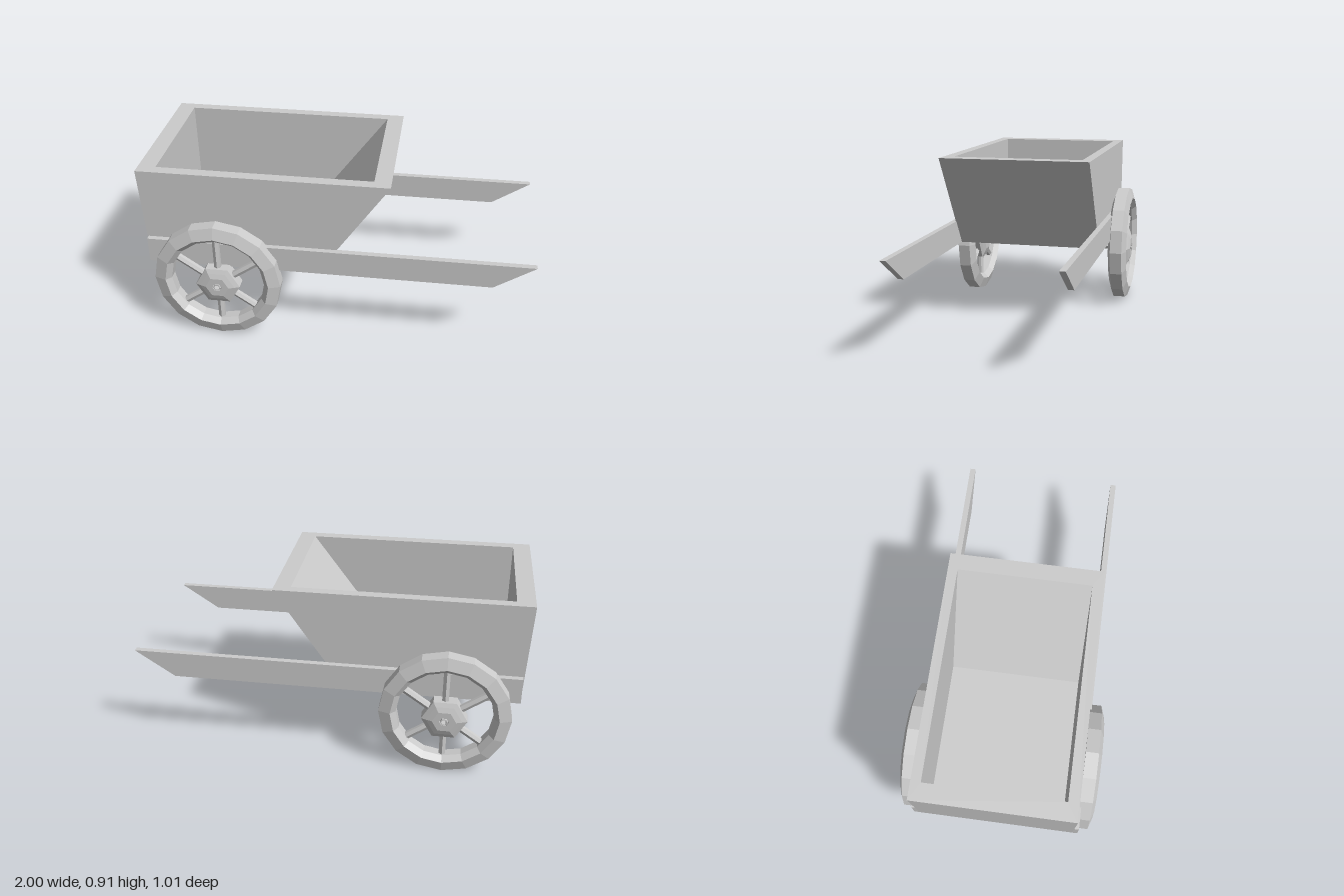
import * as THREE from 'three';

const material = new THREE.MeshStandardMaterial({ color: 0xcccccc, flatShading: true, side: THREE.DoubleSide });

function add(parent, name, geometry) {
  const mesh = new THREE.Mesh(geometry, material);
  mesh.name = name;
  parent.add(mesh);
  return mesh;
}

// Rectangular loop at height y, counter-clockwise seen from above
const loop = (y, x0, x1, z0, z1) => [[x0, y, z1], [x1, y, z1], [x1, y, z0], [x0, y, z0]];

// Joins four-cornered loops in order and caps both ends
function loft(loops) {
  const index = [0, 2, 1, 0, 3, 2];
  for (let k = 0; k < loops.length - 1; k++) {
    for (let i = 0; i < 4; i++) {
      const a = k * 4 + i, b = k * 4 + (i + 1) % 4;
      index.push(a, b, b + 4, a, b + 4, a + 4);
    }
  }
  const e = (loops.length - 1) * 4;
  index.push(e, e + 1, e + 2, e, e + 2, e + 3);
  const geometry = new THREE.BufferGeometry();
  geometry.setAttribute('position', new THREE.Float32BufferAttribute(loops.flat(2), 3));
  geometry.setIndex(index);
  const flat = geometry.toNonIndexed();
  flat.computeVertexNormals();
  return flat;
}

// Closed ring of revolution around the z axis, from (radius, z) points
function ring(points, sides) {
  const profile = [...points, points[0]].map(([r, z]) => new THREE.Vector2(r, z));
  return new THREE.LatheGeometry(profile, sides, Math.PI / 2).rotateX(Math.PI / 2);
}

function createWheel(name) {
  const wheel = new THREE.Group();
  wheel.name = name;

  // Chamfered rim, its centre slightly above the hub
  const rise = 0.025;
  add(wheel, 'rim', ring([
    [0.243, -0.025], [0.27, -0.053], [0.33, -0.033],
    [0.33, 0.033], [0.27, 0.053], [0.243, 0.025],
  ], 16)).position.y = rise;

  // Six-sided hub with a bore
  add(wheel, 'hub', ring([
    [0.024, -0.05], [0.06, -0.05], [0.09, -0.04], [0.115, -0.03],
    [0.115, 0.03], [0.09, 0.04], [0.06, 0.05], [0.024, 0.05],
  ], 6));

  // Spokes run from the hub out to the rim
  for (const degrees of [35, 90, 145, 215, 270, 325]) {
    const a = THREE.MathUtils.degToRad(degrees);
    const inner = 0.08, outer = 0.25 + rise * Math.sin(a);
    const spoke = add(wheel, 'spoke', new THREE.CylinderGeometry(0.019, 0.019, outer - inner, 6));
    const mid = (inner + outer) / 2;
    spoke.position.set(Math.cos(a) * mid, Math.sin(a) * mid, 0);
    spoke.rotation.z = a - Math.PI / 2;
  }
  return wheel;
}

export function createModel() {
  const cart = new THREE.Group();
  cart.name = 'handcart';

  // Open tray with a sloping end
  add(cart, 'tray', loft([
    loop(0.40, -0.975, -0.09, -0.385, 0.405),
    loop(0.915, -1, 0.265, -0.385, 0.405),
    loop(0.915, -0.91, 0.18, -0.335, 0.35),
    loop(0.43, -0.91, -0.18, -0.335, 0.35),
  ]));

  // Shafts along both sides, cut at a slant at the handle end
  const outline = new THREE.Shape([[-0.975, 0.40], [0.79, 0.40], [0.995, 0.535], [-0.975, 0.535]]
    .map(([x, y]) => new THREE.Vector2(x, y)));
  for (const [name, z] of [['frontShaft', 0.402], ['backShaft', -0.414]]) {
    const shaft = new THREE.ExtrudeGeometry(outline, { depth: 0.03, bevelEnabled: false });
    add(cart, name, shaft).position.z = z;
  }

  // Wheels and the hollow axle through their hubs
  const axleX = -0.608, axleY = 0.31;
  for (const [name, z] of [['frontWheel', 0.452], ['backWheel', -0.45]]) {
    const wheel = createWheel(name);
    wheel.position.set(axleX, axleY, z);
    cart.add(wheel);
  }
  const axle = add(cart, 'axle', ring([[0.014, -0.503], [0.02, -0.503], [0.02, 0.503], [0.014, 0.503]], 6));
  axle.position.set(axleX, axleY, 0);

  return cart;
}
